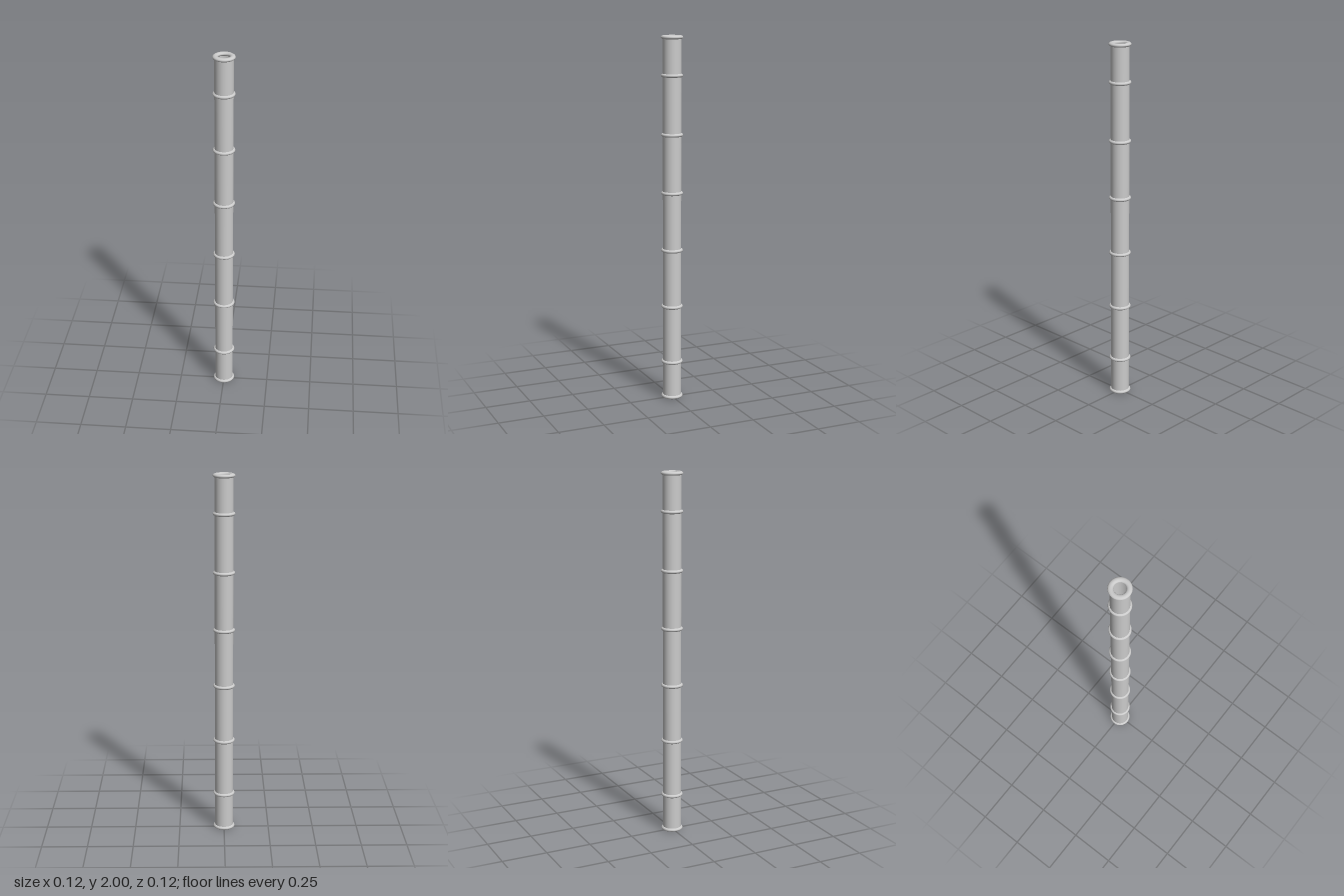
import * as THREE from 'three';

export function createModel() {
  const group = new THREE.Group();
  const grey = new THREE.MeshStandardMaterial({ color: 0xcccccc });
  const greyThin = new THREE.MeshStandardMaterial({ color: 0xcccccc, side: THREE.DoubleSide });

  // Hollow pole, open at both ends
  const pole = new THREE.Mesh(new THREE.CylinderGeometry(0.05, 0.05, 1.98, 32, 1, true), greyThin);
  pole.name = 'pole';
  pole.position.y = 1;
  group.add(pole);

  // Flattened rounded ring, shared by the two ends and the joints
  const ringGeometry = new THREE.TorusGeometry(0.045, 0.0145, 12, 32);
  ringGeometry.rotateX(Math.PI / 2);
  ringGeometry.scale(1, 0.01 / 0.0145, 1);

  const addRing = (name, y) => {
    const ring = new THREE.Mesh(ringGeometry, grey);
    ring.name = name;
    ring.position.y = y;
    group.add(ring);
  };

  addRing('bottomRing', 0.01);
  for (let i = 0; i < 6; i++) addRing(`jointRing${i + 1}`, 0.21 + i * 0.316);
  addRing('topRing', 1.99);

  return group;
}
